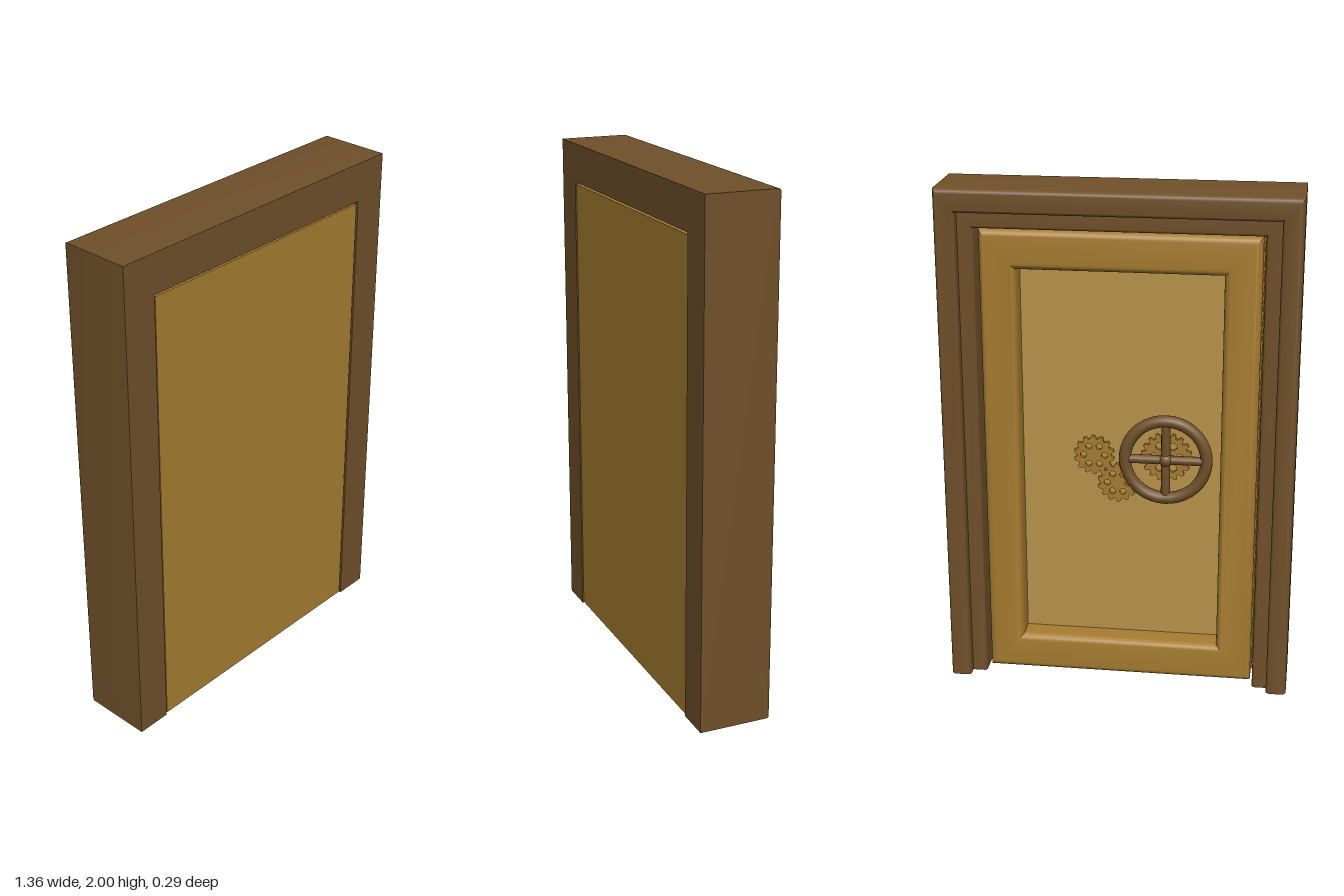
import * as THREE from 'three';
import { toCreasedNormals } from 'three/addons/utils/BufferGeometryUtils.js';

const wood = new THREE.MeshStandardMaterial({ color: 0x70502a });
const gold = new THREE.MeshStandardMaterial({ color: 0xa67c30 });
const pale = new THREE.MeshStandardMaterial({ color: 0xb8924a });

function add(parent, name, geometry, material, x = 0, y = 0, z = 0) {
  const mesh = new THREE.Mesh(geometry, material);
  mesh.name = name;
  mesh.position.set(x, y, z);
  parent.add(mesh);
  return mesh;
}

// Quarter-circle points for rounding a profile corner
function arc(cx, cz, r, startDeg) {
  return Array.from({ length: 6 }, (_, i) => {
    const a = THREE.MathUtils.degToRad(startDeg + i * 18);
    return [cx + r * Math.cos(a), cz + r * Math.sin(a)];
  });
}

// Mitred sweep of a [inset, z] profile around corners given as inset => [x, y]
function mitredFrame(profile, corners, closed) {
  const pos = [];
  const point = (corner, i) => {
    const [d, z] = profile[i % profile.length];
    pos.push(...corner(d), z);
  };
  const spans = closed ? corners.length : corners.length - 1;
  for (let c = 0; c < spans; c++) {
    const a = corners[c], b = corners[(c + 1) % corners.length];
    for (let i = 0; i < profile.length; i++) {
      point(a, i); point(a, i + 1); point(b, i + 1);
      point(a, i); point(b, i + 1); point(b, i);
    }
  }
  if (!closed) {
    const outline = profile.map(([d, z]) => new THREE.Vector2(d, z));
    for (const [i, j, k] of THREE.ShapeUtils.triangulateShape(outline, [])) {
      [i, k, j].forEach((n) => point(corners[0], n));
      [i, j, k].forEach((n) => point(corners[corners.length - 1], n));
    }
  }
  const g = new THREE.BufferGeometry();
  g.setAttribute('position', new THREE.Float32BufferAttribute(pos, 3));
  return toCreasedNormals(g, 0.6);
}

function gearGeometry(radius, teeth, depth) {
  const shape = new THREE.Shape();
  const pattern = [[0, 0.85], [0.25, 1], [0.55, 1], [0.8, 0.85]];
  for (let t = 0; t < teeth; t++) {
    for (const [f, k] of pattern) {
      const a = ((t + f) / teeth) * Math.PI * 2;
      const x = Math.cos(a) * radius * k, y = Math.sin(a) * radius * k;
      if (t === 0 && f === 0) shape.moveTo(x, y); else shape.lineTo(x, y);
    }
  }
  shape.closePath();
  for (let h = 0; h < 6; h++) {
    const a = (h / 6) * Math.PI * 2;
    shape.holes.push(new THREE.Path().absarc(
      Math.cos(a) * radius * 0.52, Math.sin(a) * radius * 0.52, radius * 0.16, 0, Math.PI * 2, true));
  }
  return new THREE.ExtrudeGeometry(shape, { depth, bevelEnabled: false, curveSegments: 8 });
}

export function createModel() {
  const model = new THREE.Group();
  model.name = 'door';

  // Surround: raised outer band stepping down to a stop around the doorway
  const surround = [
    [0, 0.145],
    ...arc(0.02, -0.125, 0.02, 180),
    ...arc(0.064, -0.129, 0.016, 270),
    [0.08, -0.1],
    ...arc(0.126, -0.088, 0.012, 270),
    [0.138, 0.145],
  ];
  add(model, 'doorFrame', mitredFrame(surround, [
    (d) => [0.68 - d, 0],
    (d) => [0.68 - d, 2 - d * 1.11],
    (d) => [d - 0.68, 2 - d * 1.11],
    (d) => [d - 0.68, 0],
  ], false), wood);

  // Door leaf: flush front slab, rounded rim and recessed panel behind
  const leaf = new THREE.Group();
  leaf.name = 'doorLeaf';
  model.add(leaf);
  add(leaf, 'frontSlab', new THREE.BoxGeometry(1.072, 1.832, 0.1), gold, 0, 0.922, 0.092);
  add(leaf, 'backPanel', new THREE.BoxGeometry(0.82, 1.56, 0.02), pale, 0, 0.922, 0.04);
  const rim = [
    [0, 0.045],
    ...arc(0.028, -0.042, 0.028, 180),
    ...arc(0.112, -0.042, 0.028, 270),
    [0.14, 0.045],
  ];
  const lowY = 0.006, highY = 1.836;
  add(leaf, 'doorRim', mitredFrame(rim, [
    (d) => [0.532 - d, lowY + d * 1.08],
    (d) => [0.532 - d, highY - d * 1.08],
    (d) => [d - 0.532, highY - d * 1.08],
    (d) => [d - 0.532, lowY + d * 1.08],
  ], true), gold);

  // Hand wheel with crossed spokes and axle
  const wheel = new THREE.Group();
  wheel.name = 'handWheel';
  wheel.position.set(-0.176, 0.93, -0.01);
  model.add(wheel);
  add(wheel, 'wheelRim', new THREE.TorusGeometry(0.16, 0.024, 12, 40), wood);
  for (const angle of [0, Math.PI / 2]) {
    add(wheel, 'wheelSpoke', new THREE.CylinderGeometry(0.018, 0.018, 0.32, 12), wood).rotation.z = angle;
  }
  add(wheel, 'wheelHub', new THREE.SphereGeometry(0.028, 16, 12), wood);
  add(wheel, 'wheelAxle', new THREE.CylinderGeometry(0.018, 0.018, 0.05, 16), wood, 0, 0, 0.025).rotation.x = Math.PI / 2;

  // Gear train on the recessed panel
  const gears = [[0.11, 0.926, 0.08, 14], [0.016, 0.813, 0.08, 14], [-0.176, 0.93, 0.1, 18]];
  for (const [x, y, r, teeth] of gears) {
    add(model, 'gear', gearGeometry(r, teeth, 0.015), gold, x, y, 0.016);
  }
  return model;
}
